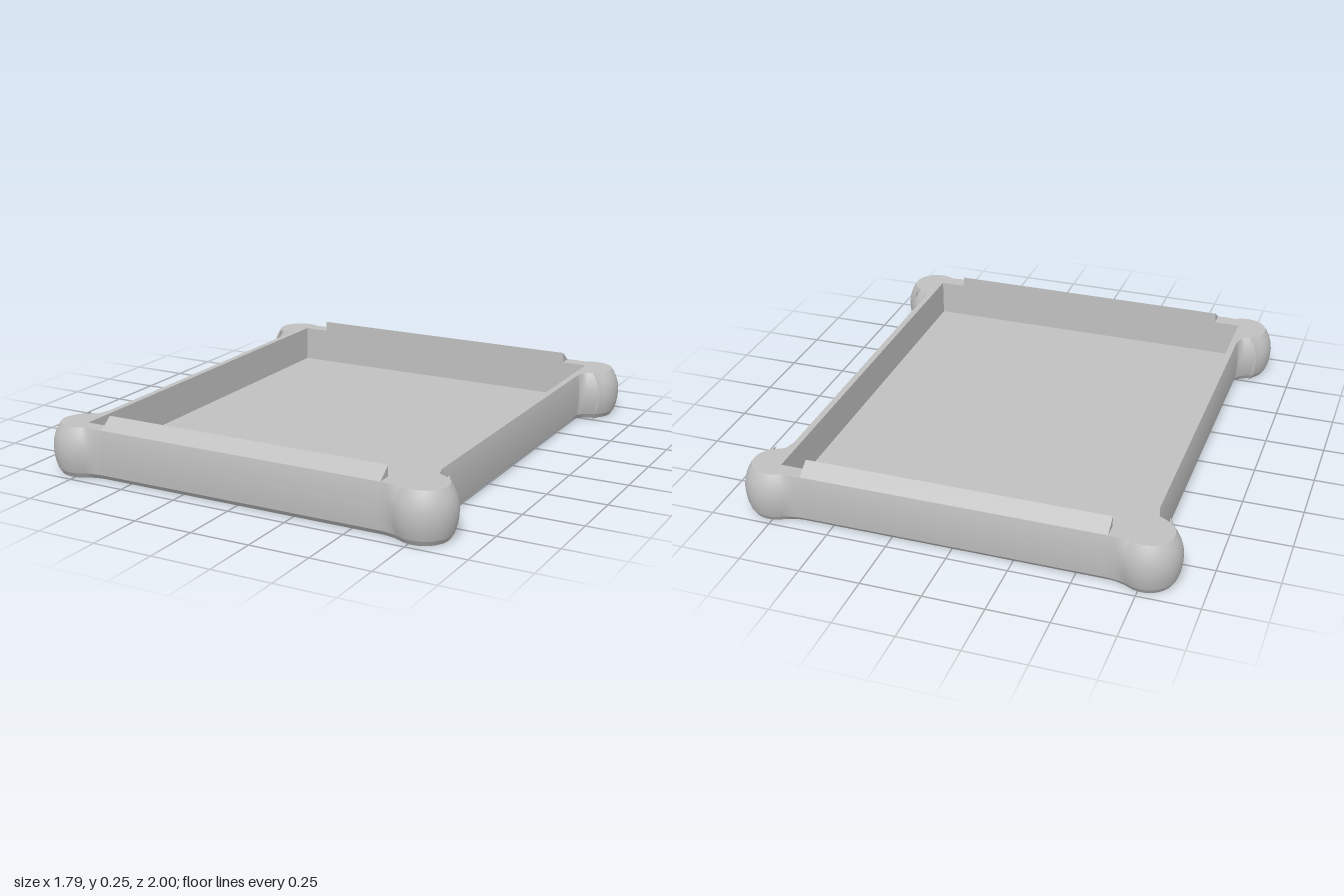
import * as THREE from 'three';

const HEIGHT = 0.21, FLOOR = 0.055;
const CAVITY_X = 0.735, CAVITY_Z = 0.885;
const WALL_X = 0.77, WALL_Z = 0.957;

// Plan outline: straight walls with a round bumper bulging at each corner
function planOutline() {
  const path = new THREE.Path();
  path.moveTo(WALL_X, 0.71);
  path.bezierCurveTo(WALL_X, 0.735, 0.81, 0.738, 0.8486, 0.7704);
  path.absarc(0.765, 0.87, 0.13, -50 * Math.PI / 180, 120 * Math.PI / 180, false);
  path.bezierCurveTo(0.675, 0.968, 0.655, WALL_Z, 0.62, WALL_Z);
  const quarter = path.getPoints(14);
  const mirror = (pts, sx, sy) => pts.map(p => new THREE.Vector2(p.x * sx, p.y * sy)).reverse();
  const half = [...quarter, ...mirror(quarter, -1, 1)];
  return [...half, ...mirror(half, 1, -1)];
}

// Outline moved inward, by one amount at the bumpers and another on the walls
function inset(outline, corner, wall) {
  const n = outline.length;
  return outline.map((p, i) => {
    const a = p.clone().sub(outline[(i + n - 1) % n]).normalize();
    const b = outline[(i + 1) % n].clone().sub(p).normalize();
    const t = a.add(b).normalize();
    const out = Math.max(Math.abs(p.x) - WALL_X, Math.abs(p.y) - WALL_Z);
    const d = THREE.MathUtils.lerp(wall, corner, THREE.MathUtils.smoothstep(out, 0, 0.025));
    return new THREE.Vector2(p.x - t.y * d, p.y + t.x * d);
  });
}

// Skin over closed rings, each { y, pts }
function loft(rings) {
  const n = rings[0].pts.length, pos = [], index = [];
  rings.forEach(r => r.pts.forEach(p => pos.push(p.x, r.y, p.y)));
  for (let r = 0; r < rings.length - 1; r++) {
    for (let i = 0; i < n; i++) {
      const a = r * n + i, b = r * n + (i + 1) % n;
      index.push(a, a + n, b + n, a, b + n, b);
    }
  }
  const g = new THREE.BufferGeometry();
  g.setAttribute('position', new THREE.Float32BufferAttribute(pos, 3));
  g.setIndex(index);
  g.computeVertexNormals();
  return g;
}

export function createModel() {
  const group = new THREE.Group();
  const grey = new THREE.MeshStandardMaterial({ color: 0xc0c0c0 });
  grey.name = 'grey';
  const add = (name, geometry) => {
    const mesh = new THREE.Mesh(geometry, grey);
    mesh.name = name;
    group.add(mesh);
    return mesh;
  };

  const outline = planOutline();
  const ring = ([y, corner, wall]) => ({ y, pts: inset(outline, corner, wall) });

  // Outer side: sharp bottom chamfer, then a softly bulging wall
  const base = [0, 0.03, 0.026], edge = [0.022, 0.016, 0.006];
  const top = [HEIGHT, 0.034, 0.008];
  add('bottomChamfer', loft([base, edge].map(ring)));
  add('outerWall', loft([edge, [0.05, 0.007, 0.003], [0.08, 0.002, 0.001], [0.11, 0, 0],
    [0.14, 0.003, 0.001], [0.165, 0.01, 0.002], [0.19, 0.021, 0.005], top].map(ring)));

  // Underside
  add('underside', new THREE.ShapeGeometry(new THREE.Shape(ring(base).pts)).rotateX(Math.PI / 2));

  // Flat rim around the cavity
  const cavity = [[1, 1], [1, -1], [-1, -1], [-1, 1]]
    .map(([x, z]) => new THREE.Vector2(x * CAVITY_X, z * CAVITY_Z));
  const rim = new THREE.Shape(ring(top).pts);
  rim.holes.push(new THREE.Path(cavity));
  add('rim', new THREE.ShapeGeometry(rim).rotateX(-Math.PI / 2).translate(0, HEIGHT, 0));

  // Cavity walls and floor
  const inner = loft([{ y: FLOOR, pts: cavity }, { y: HEIGHT, pts: cavity }]).toNonIndexed();
  inner.computeVertexNormals();
  add('cavityWalls', inner);
  add('floor', new THREE.PlaneGeometry(CAVITY_X * 2, CAVITY_Z * 2)
    .rotateX(-Math.PI / 2).translate(0, FLOOR, 0));

  // Wedge-shaped retaining lips on the front and back walls
  const wedge = new THREE.Shape([[CAVITY_Z, HEIGHT], [0.946, HEIGHT], [CAVITY_Z, 0.255]]
    .map(([z, y]) => new THREE.Vector2(z, y)));
  const lip = new THREE.ExtrudeGeometry(wedge, { depth: 1.25, bevelEnabled: false })
    .rotateY(-Math.PI / 2).translate(0.625, 0, 0);
  add('frontLip', lip);
  add('backLip', lip).rotation.y = Math.PI;

  return group;
}
